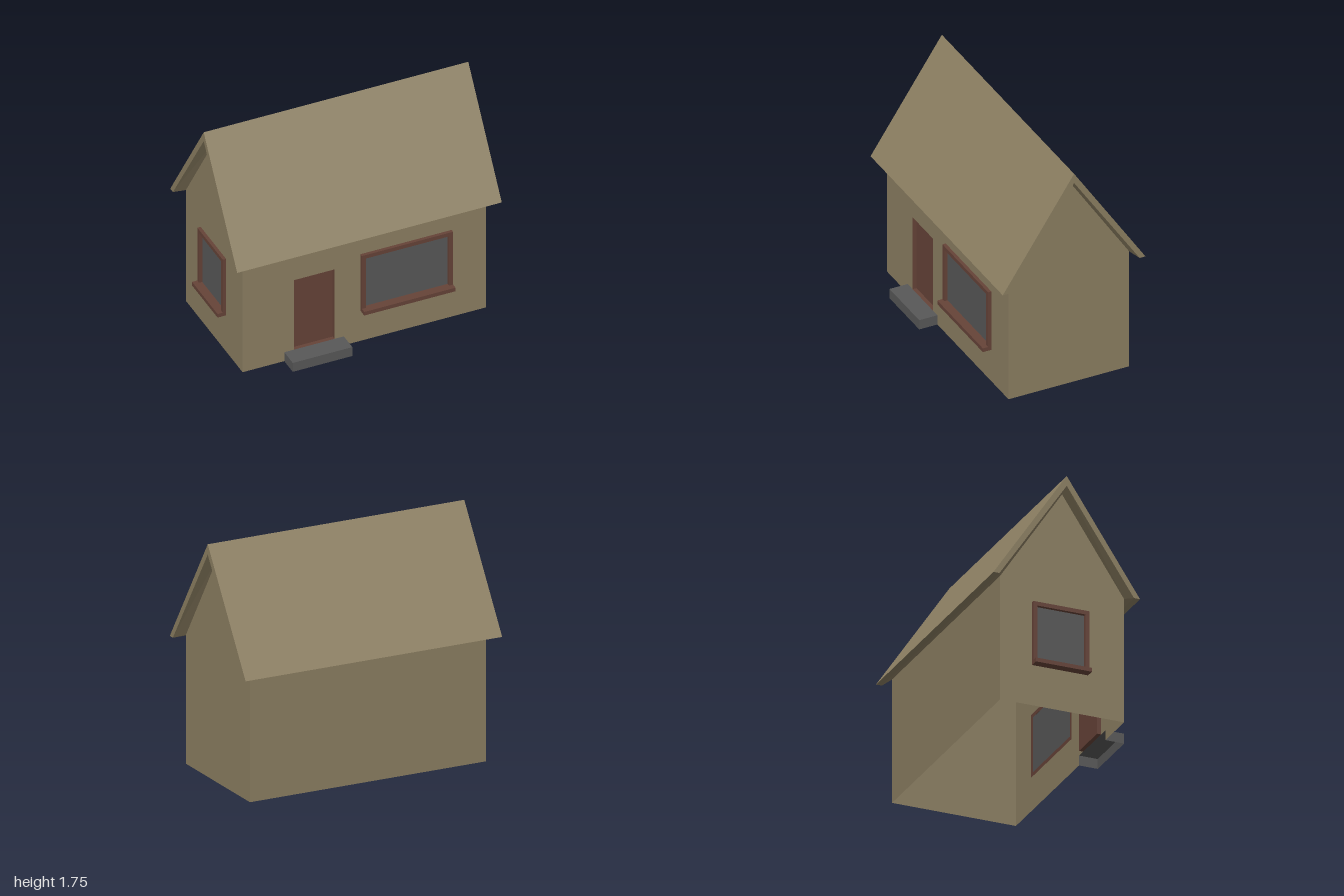
import * as THREE from 'three';

const mat = (name, color) => new THREE.MeshStandardMaterial({ name, color, side: THREE.DoubleSide });
const V = (x, y, z) => new THREE.Vector3(x, y, z);

// Flat-shaded surface from a list of four-cornered faces
function quads(faces) {
  const pts = [];
  for (const [a, b, c, d] of faces) pts.push(a, b, c, a, c, d);
  const g = new THREE.BufferGeometry().setFromPoints(pts);
  g.computeVertexNormals();
  return g;
}

function polygon(points, Type = THREE.Shape) {
  return new Type(points.map(([x, y]) => new THREE.Vector2(x, y)));
}

const rect = (x0, y0, x1, y1) => [[x0, y0], [x1, y0], [x1, y1], [x0, y1]];

export function createModel() {
  const tan = mat('tan plaster', 0x8c7f62);
  const brown = mat('brown wood', 0x664338);
  const grey = mat('grey', 0x585858);
  const model = new THREE.Group();
  model.name = 'house';

  const add = (name, geometry, material, parent = model) => {
    const mesh = new THREE.Mesh(geometry, material);
    mesh.name = name;
    parent.add(mesh);
    return mesh;
  };

  const W = 0.92, front = 0.44, back = -0.49, mid = -0.025, eave = 0.935;

  // Front wall with openings for the step, door and window
  const frontShape = polygon([
    [-W, 0], [-0.605, 0], [-0.605, 0.075], [-0.53, 0.075], [-0.53, 0.66], [-0.225, 0.66],
    [-0.225, 0.075], [-0.155, 0.075], [-0.155, 0], [W, 0], [W, eave], [-W, eave],
  ]);
  frontShape.holes.push(polygon(rect(-0.03, 0.255, 0.66, 0.73), THREE.Path));
  add('frontWall', new THREE.ShapeGeometry(frontShape), tan).position.z = front;

  const backWall = add('backWall', new THREE.PlaneGeometry(2 * W, eave), tan);
  backWall.position.set(0, eave / 2, back);
  backWall.rotation.y = Math.PI;

  // Gable walls; the left-hand end in front view has a window opening
  for (const s of [1, -1]) {
    const shape = polygon([[-front * s, 0], [-back * s, 0], [-back * s, eave], [-mid * s, 1.64], [-front * s, eave]]);
    if (s < 0) shape.holes.push(polygon(rect(-0.25, 0.305, 0.17, 0.78), THREE.Path));
    const wall = add(s > 0 ? 'leftGable' : 'rightGable', new THREE.ShapeGeometry(shape), tan);
    wall.position.x = s * W;
    wall.rotation.y = s * Math.PI / 2;
  }

  // Roof shell: slopes, flat eave edges, soffits and gable trims
  const outer = [[0.525, 0.915], [mid, 1.745], [-0.575, 0.915]];
  const under = [[0.48, 0.915], [mid, 1.67], [-0.53, 0.915]];
  const inner = [[front, eave], [mid, 1.64], [back, eave]];
  const at = (x, [z, y]) => V(x, y, z);
  const span = (a, b) => [at(-1, a), at(1, a), at(1, b), at(-1, b)];
  const soffit = (u, w) => [at(-1, u), at(-W, w), at(W, w), at(1, u)];
  const faces = [
    span(outer[0], outer[1]), span(outer[1], outer[2]),
    span(under[0], outer[0]), span(outer[2], under[2]),
    soffit(under[0], inner[0]), soffit(under[2], inner[2]).reverse(),
  ];
  for (const s of [1, -1]) {
    for (const i of [0, 1]) {
      const trim = [at(s, outer[i]), at(s, under[i]), at(s, under[i + 1]), at(s, outer[i + 1])];
      const lip = [at(s, under[i]), at(s * W, inner[i]), at(s * W, inner[i + 1]), at(s, under[i + 1])];
      faces.push(s > 0 ? trim : trim.reverse(), s > 0 ? lip : lip.reverse());
    }
  }
  add('roof', quads(faces), tan);

  // Tray-like box open towards +z (recess below zero depth)
  const [dx0, dx1, dy0, dy1, dz] = [-0.53, -0.225, 0.075, 0.66, front - 0.03];
  add('door', quads([
    [V(dx0, dy0, dz), V(dx1, dy0, dz), V(dx1, dy1, dz), V(dx0, dy1, dz)],
    [V(dx0, dy0, front), V(dx0, dy0, dz), V(dx0, dy1, dz), V(dx0, dy1, front)],
    [V(dx1, dy0, dz), V(dx1, dy0, front), V(dx1, dy1, front), V(dx1, dy1, dz)],
    [V(dx0, dy1, dz), V(dx1, dy1, dz), V(dx1, dy1, front), V(dx0, dy1, front)],
    [V(dx0, dy0, front), V(dx1, dy0, front), V(dx1, dy0, dz), V(dx0, dy0, dz)],
  ]), brown);

  // Doorstep, hollow and open at the bottom and back
  const [sx0, sx1, sy, sz] = [-0.605, -0.155, 0.075, 0.58];
  add('doorstep', quads([
    [V(sx0, 0, sz), V(sx1, 0, sz), V(sx1, sy, sz), V(sx0, sy, sz)],
    [V(sx0, sy, sz), V(sx1, sy, sz), V(sx1, sy, front), V(sx0, sy, front)],
    [V(sx1, 0, sz), V(sx1, 0, front), V(sx1, sy, front), V(sx1, sy, sz)],
    [V(sx0, 0, front), V(sx0, 0, sz), V(sx0, sy, sz), V(sx0, sy, front)],
  ]), grey);

  // Window: three-sided frame, deeper sill and a pane flush with the wall
  function makeWindow(name, w, h) {
    const t = 0.03, group = new THREE.Group();
    group.name = name;
    const bar = (part, bw, bh, depth, x, y) =>
      add(part, new THREE.BoxGeometry(bw, bh, depth), brown, group).position.set(x, y, depth / 2);
    for (const s of [1, -1]) bar('windowJamb', t, h - 2 * t, 0.025, s * (w - t) / 2, h / 2);
    bar('windowHead', w, t, 0.025, 0, h - t / 2);
    bar('windowSill', w, t, 0.065, 0, t / 2);
    add('windowPane', new THREE.PlaneGeometry(w - 2 * t, h - 2 * t), grey, group).position.set(0, h / 2, 0.001);
    model.add(group);
    return group;
  }
  makeWindow('frontWindow', 0.69, 0.475).position.set(0.315, 0.255, front);
  const side = makeWindow('sideWindow', 0.42, 0.475);
  side.position.set(-W, 0.305, -0.04);
  side.rotation.y = -Math.PI / 2;

  return model;
}
